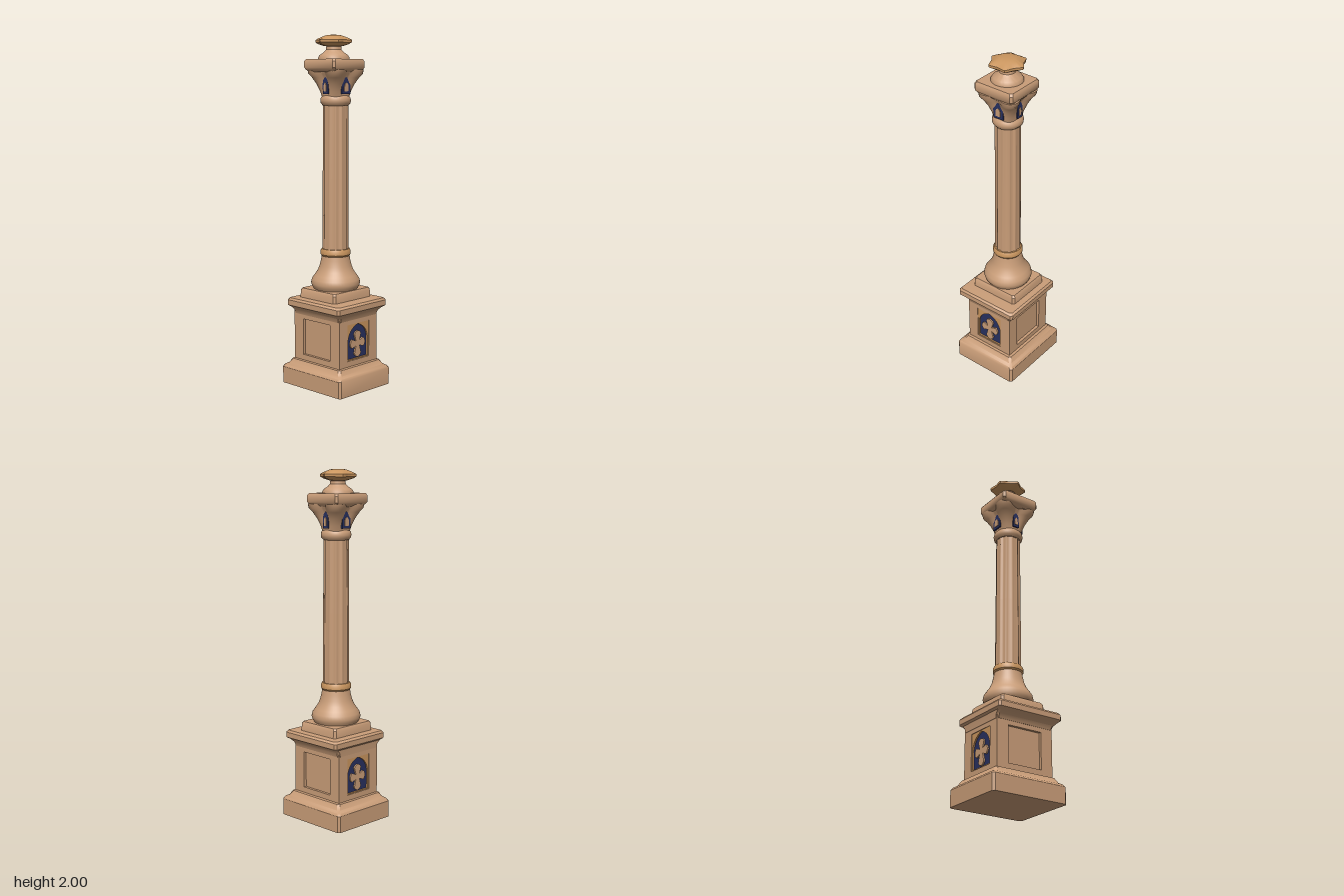
import * as THREE from 'three';
import { toCreasedNormals } from 'three/addons/utils/BufferGeometryUtils.js';

const material = (name, color) => {
  const m = new THREE.MeshStandardMaterial({ color });
  m.name = name;
  return m;
};

// Rectangular ring with chamfered corners
function rect(y, x0, x1, z0, z1, c = 0.012) {
  return [
    [x0 + c, y, z1], [x1 - c, y, z1], [x1, y, z1 - c], [x1, y, z0 + c],
    [x1 - c, y, z0], [x0 + c, y, z0], [x0, y, z0 + c], [x0, y, z1 - c],
  ];
}

// Round ring whose radius follows a rule of the angle
function round(y, radius, n = 72) {
  return Array.from({ length: n }, (_, i) => {
    const t = (i / n) * Math.PI * 2, r = radius(t);
    return [Math.sin(t) * r, y, Math.cos(t) * r];
  });
}

// Closed skin through a stack of rings, bottom to top
function loft(rings, crease = 0.6) {
  const n = rings[0].length, last = rings.length - 1, index = [];
  const points = rings.flat();
  for (let k = 0; k < last; k++) {
    for (let i = 0; i < n; i++) {
      const j = (i + 1) % n, a = k * n, b = a + n;
      index.push(a + i, a + j, b + j, a + i, b + j, b + i);
    }
  }
  for (const k of [0, last]) {
    const s = [0, 1, 2].map((d) => rings[k].reduce((t, p) => t + p[d], 0) / n);
    const c = points.push(s) - 1;
    for (let i = 0; i < n; i++) {
      const a = k * n + i, b = k * n + ((i + 1) % n);
      if (k) index.push(a, b, c);
      else index.push(b, a, c);
    }
  }
  const g = new THREE.BufferGeometry();
  g.setAttribute('position', new THREE.Float32BufferAttribute(points.flat(), 3));
  g.setIndex(index);
  return toCreasedNormals(g, crease);
}

// Pointed arch outline
function arch(w, y0, spring, top, Type = THREE.Shape) {
  const s = new Type();
  s.moveTo(-w, y0);
  s.lineTo(w, y0);
  s.lineTo(w, spring);
  s.quadraticCurveTo(w * 0.85, top - (top - spring) * 0.25, 0, top);
  s.quadraticCurveTo(-w * 0.85, top - (top - spring) * 0.25, -w, spring);
  s.lineTo(-w, y0);
  return s;
}

function box(w, y0, y1, Type = THREE.Shape) {
  const s = new Type();
  s.moveTo(-w, y0);
  s.lineTo(w, y0);
  s.lineTo(w, y1);
  s.lineTo(-w, y1);
  s.lineTo(-w, y0);
  return s;
}

// Cross with flared, lobed arms
function crossShape(cy) {
  const s = new THREE.Shape();
  s.moveTo(0.014, cy + 0.014);
  [0, 1, 2, 3].forEach((q) => {
    const len = [0.072, 0.06, 0.08, 0.06][q], a = (q * Math.PI) / 2;
    const at = (x, y) => [x * Math.cos(a) - y * Math.sin(a), cy + x * Math.sin(a) + y * Math.cos(a)];
    s.lineTo(...at(0.026, len * 0.72));
    s.quadraticCurveTo(...at(0.022, len * 0.95), ...at(0, len));
    s.quadraticCurveTo(...at(-0.022, len * 0.95), ...at(-0.026, len * 0.72));
    s.lineTo(...at(-0.014, 0.014));
  });
  return s;
}

export function createModel() {
  const stone = material('sandstone', 0xc99d78);
  const ochre = material('ochre stone', 0xc9955e);
  const blue = material('blue inlay', 0x28305f);
  const model = new THREE.Group();
  model.name = 'column';

  const add = (name, geometry, mat, parent = model) => {
    const m = new THREE.Mesh(geometry, mat);
    m.name = name;
    parent.add(m);
    return m;
  };
  const plate = (name, shape, z, depth, mat, parent) =>
    add(name, new THREE.ExtrudeGeometry(shape, { depth, bevelEnabled: false, curveSegments: 10 }).translate(0, 0, z), mat, parent);
  const lathe = (name, pts, mat) =>
    add(name, toCreasedNormals(new THREE.LatheGeometry(pts.map((p) => new THREE.Vector2(...p)), 48), 0.6), mat);

  // Stepped foot
  add('foot', loft([
    rect(0, -0.207, 0.212, -0.237, 0.236), rect(0.095, -0.207, 0.212, -0.237, 0.236),
    rect(0.108, -0.198, 0.203, -0.228, 0.228), rect(0.118, -0.182, 0.187, -0.21, 0.21),
    rect(0.145, -0.168, 0.17, -0.193, 0.194), rect(0.148, -0.155, 0.155, -0.18, 0.18),
  ]), stone);

  // Pedestal block with framed recesses on all four sides
  add('pedestalCore', new THREE.BoxGeometry(0.276, 0.31, 0.326).translate(0, 0.295, 0), stone);
  for (const turn of [0, 1, 2, 3]) {
    const side = turn % 2 === 1;
    const face = new THREE.Group();
    face.name = side ? 'sidePanel' : 'archPanel';
    face.rotation.y = (turn * Math.PI) / 2;
    model.add(face);
    const frame = box(side ? 0.163 : 0.155, 0.14, 0.45);
    if (side) {
      frame.holes.push(box(0.107, 0.18, 0.39, THREE.Path));
      plate('panelFrame', frame, 0.138, 0.017, stone, face);
    } else {
      frame.holes.push(box(0.088, 0.18, 0.39, THREE.Path));
      plate('panelFrame', frame, 0.163, 0.017, stone, face);
      const spandrel = box(0.088, 0.18, 0.39);
      spandrel.holes.push(arch(0.08, 0.186, 0.3, 0.385, THREE.Path));
      plate('archSurround', spandrel, 0.163, 0.013, ochre, face);
      plate('archInlay', arch(0.081, 0.185, 0.3, 0.386), 0.163, 0.004, blue, face);
      plate('cross', crossShape(0.272), 0.167, 0.009, stone, face);
    }
  }

  // Pedestal cornice and plinth
  add('cornice', loft([
    rect(0.415, -0.157, 0.157, -0.182, 0.182), rect(0.44, -0.165, 0.165, -0.184, 0.19),
    rect(0.457, -0.185, 0.182, -0.186, 0.205), rect(0.468, -0.202, 0.2, -0.197, 0.218),
    rect(0.498, -0.202, 0.2, -0.197, 0.218), rect(0.51, -0.192, 0.19, -0.187, 0.208),
    rect(0.514, -0.155, 0.155, -0.148, 0.145),
  ]), stone);
  add('plinth', loft([
    rect(0.5, -0.152, 0.155, -0.146, 0.14), rect(0.555, -0.15, 0.152, -0.144, 0.138),
    rect(0.567, -0.142, 0.144, -0.136, 0.13),
  ]), stone);

  // Bell-shaped base and ring
  lathe('columnBase', [
    [0, 0.56], [0.122, 0.56], [0.136, 0.582], [0.141, 0.6], [0.136, 0.622], [0.12, 0.645],
    [0.103, 0.67], [0.091, 0.7], [0.083, 0.735], [0.077, 0.77], [0, 0.77],
  ], stone);
  lathe('lowerRing', [
    [0, 0.755], [0.079, 0.755], [0.086, 0.765], [0.086, 0.785], [0.079, 0.797], [0, 0.797],
  ], ochre);

  // Fluted shaft
  const flute = (r) => (t) => r * (1 - 0.1 * Math.pow(Math.abs(Math.cos(t * 6)), 1.5));
  add('shaft', loft([[0.77, 0.075], [1.2, 0.073], [1.63, 0.071]].map(([y, r]) => round(y, flute(r), 96)), 0.9), stone);
  lathe('upperRing', [
    [0, 1.61], [0.072, 1.61], [0.083, 1.622], [0.086, 1.638], [0.082, 1.655], [0.07, 1.667], [0, 1.667],
  ], stone);

  // Capital spreading from round to four corner leaves
  const leaf = (mid, corner) => (t) => mid + (corner - mid) * Math.pow(Math.sin(2 * t), 2);
  add('capital', loft([
    [1.65, 0.07, 0.074], [1.69, 0.071, 0.087], [1.73, 0.073, 0.107], [1.765, 0.08, 0.132],
    [1.785, 0.092, 0.152], [1.81, 0.1, 0.158],
  ].map(([y, m, c]) => round(y, leaf(m, c))), 0.9), stone);
  for (const turn of [0, 1, 2, 3]) {
    const niche = new THREE.Group();
    niche.name = 'capitalNiche';
    niche.rotation.y = (turn * Math.PI) / 2;
    niche.scale.x = turn % 2 ? 0.6 : 1;
    model.add(niche);
    plate('nicheInlay', arch(0.033, 1.675, 1.735, 1.768), 0.073, 0.009, blue, niche);
    plate('nicheLeaf', arch(0.016, 1.69, 1.715, 1.738), 0.08, 0.006, stone, niche);
  }

  // Abacus
  add('abacus', loft([
    rect(1.795, -0.115, 0.1, -0.1, 0.1), rect(1.808, -0.128, 0.112, -0.116, 0.112),
    rect(1.82, -0.136, 0.12, -0.124, 0.12), rect(1.855, -0.136, 0.12, -0.124, 0.12),
    rect(1.868, -0.128, 0.112, -0.116, 0.112),
  ]), stone);

  // Finial neck and six-pointed crown
  lathe('finialNeck', [
    [0, 1.86], [0.088, 1.86], [0.088, 1.875], [0.078, 1.89], [0.058, 1.903], [0.044, 1.918],
    [0.042, 1.935], [0.052, 1.95], [0, 1.95],
  ], stone).position.set(-0.008, 0, -0.006);
  const star = (r, k) => (t) => r * (1 - k * (0.5 + 0.5 * Math.cos(6 * t)) ** 0.6);
  add('finialCrown', loft([
    [1.938, 0.052, 0.02], [1.948, 0.085, 0.15], [1.958, 0.104, 0.18], [1.972, 0.105, 0.18],
    [1.981, 0.088, 0.14], [1.99, 0.065, 0.06], [1.997, 0.045, 0], [2.0, 0.025, 0],
  ].map(([y, r, k]) => round(y, star(r, k))), 0.7), ochre).position.set(-0.008, 0, -0.008);

  return model;
}
